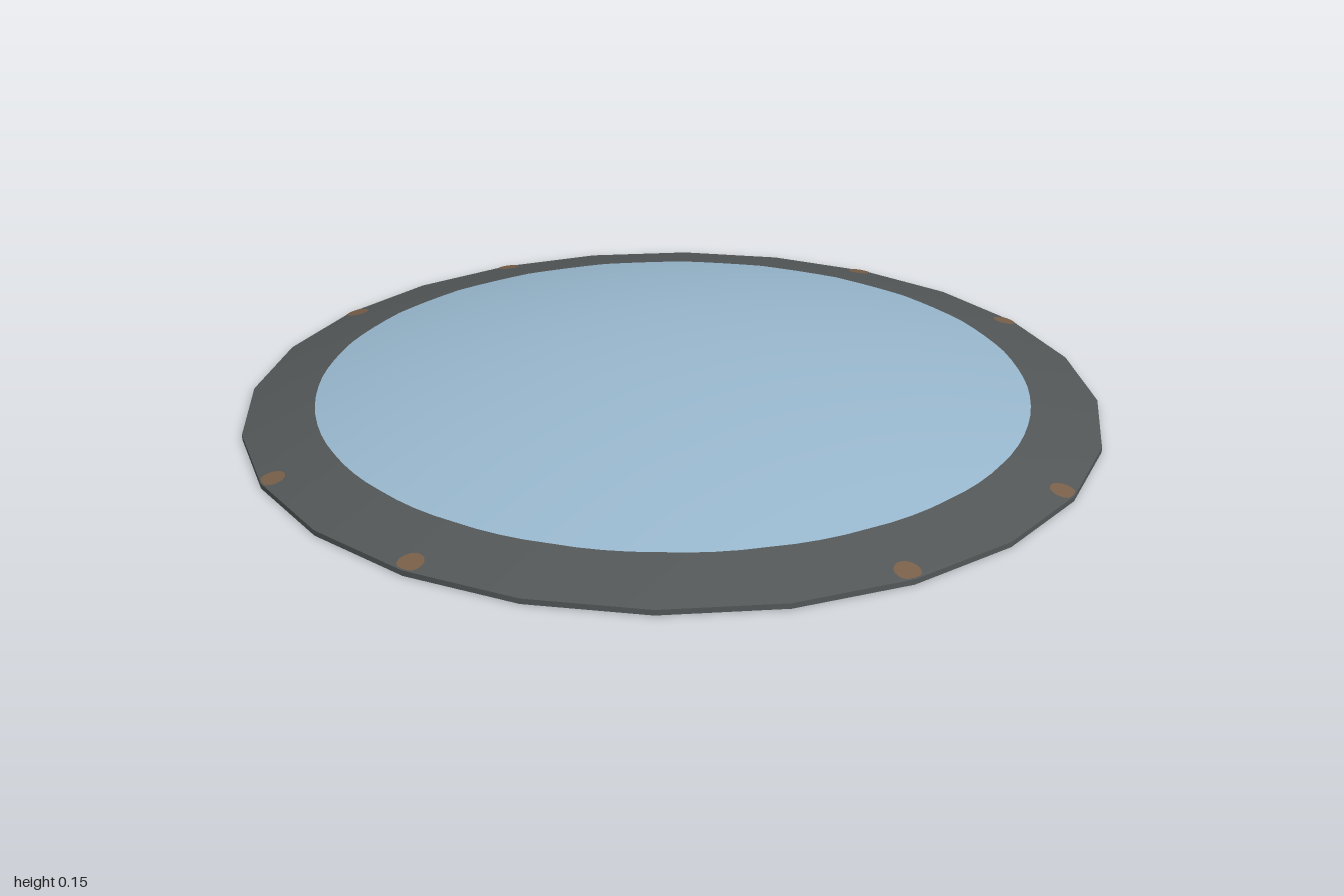
import * as THREE from 'three';

const SIDES = 24, SEGMENTS = 96, LENS = 0.834, THICK = 0.012;
const HEIGHTS = [[0, 0.148], [0.26, 0.137], [0.6, 0.091], [1, 0.012]];

// Ratio of the 24-sided outline to a circle, in a given direction
function outline(x, z) {
  const step = (2 * Math.PI) / SIDES;
  const a = Math.atan2(x, z);
  const offset = a - (Math.floor(a / step + 1e-6) + 0.5) * step;
  return Math.cos(step / 2) / Math.cos(offset);
}

// Height of the faceted dome above a point
function domeHeight(x, z) {
  const r = Math.min(1, Math.hypot(x, z) / outline(x, z));
  const i = HEIGHTS.findIndex(([limit], k) => k > 0 && r <= limit + 1e-9);
  const [r0, y0] = HEIGHTS[i - 1], [r1, y1] = HEIGHTS[i];
  return y0 + ((y1 - y0) * (r - r0)) / (r1 - r0);
}

// Lay a flat geometry onto the top (side 1) or underside (side -1) of the dome
function drape(geometry, side, lift = 0) {
  const p = geometry.attributes.position, n = geometry.attributes.normal;
  const normal = new THREE.Vector3();
  for (let i = 0; i < p.count; i++) {
    let x = p.getX(i), z = p.getZ(i);
    const r = Math.hypot(x, z), k = outline(x, z);
    const max = k * (lift ? 0.998 : 1);
    if (r > max) { x *= max / r; z *= max / r; }
    p.setXYZ(i, x, domeHeight(x, z) - (side < 0 ? THICK : 0) + side * lift, z);
    normal.set(x / 3.2, 1, z / 3.2).normalize().multiplyScalar(side);
    n.setXYZ(i, normal.x, normal.y, normal.z);
  }
  return geometry;
}

// Ring-shaped sheet between successive radii; the lens border stays a true circle
function sheet(radii, side) {
  const order = side > 0 ? [...radii].reverse() : radii;
  const g = new THREE.LatheGeometry(order.map(r => new THREE.Vector2(r, 0)), SEGMENTS);
  const p = g.attributes.position;
  for (let i = 0; i < p.count; i++) {
    const x = p.getX(i), z = p.getZ(i);
    if (Math.abs(Math.hypot(x, z) - LENS) < 1e-4) continue;
    const k = outline(x, z);
    p.setXYZ(i, x * k, 0, z * k);
  }
  return drape(g, side);
}

export function createModel() {
  const model = new THREE.Group();
  const material = (name, color) => {
    const m = new THREE.MeshStandardMaterial({ color });
    m.name = name;
    return m;
  };
  const blue = material('lensBlue', 0x98b7cd);
  const grey = material('rimGrey', 0x535757);
  const brown = material('rivetBrown', 0x785f49);
  const add = (name, geometry, mat) => {
    const mesh = new THREE.Mesh(geometry, mat);
    mesh.name = name;
    model.add(mesh);
  };

  // Dome and rim, each with an upper and a lower skin
  for (const side of [1, -1]) {
    const label = side > 0 ? 'Top' : 'Underside';
    add('lens' + label, sheet([0, 0.13, 0.26, 0.43, 0.6, 0.72, LENS], side), blue);
    add('rim' + label, sheet([LENS, 1], side), grey);

    // Rivets, some at the quarters and some a third of the way on
    for (let quarter = 0; quarter < 4; quarter++) {
      for (const turn of [0, Math.PI / 6]) {
        const a = (quarter * Math.PI) / 2 + turn;
        const g = new THREE.CircleGeometry(0.028, 20).rotateX(-side * Math.PI / 2);
        g.translate(0.974 * Math.cos(a), 0, -0.974 * Math.sin(a));
        add('rivet' + label, drape(g, side, side > 0 ? 0.002 : 0.0015), brown);
      }
    }
  }

  // Thin outer edge
  const edge = new THREE.CylinderGeometry(1, 1, THICK, SIDES, 1, true);
  add('rimEdge', edge.translate(0, THICK / 2, 0), grey);
  return model;
}
